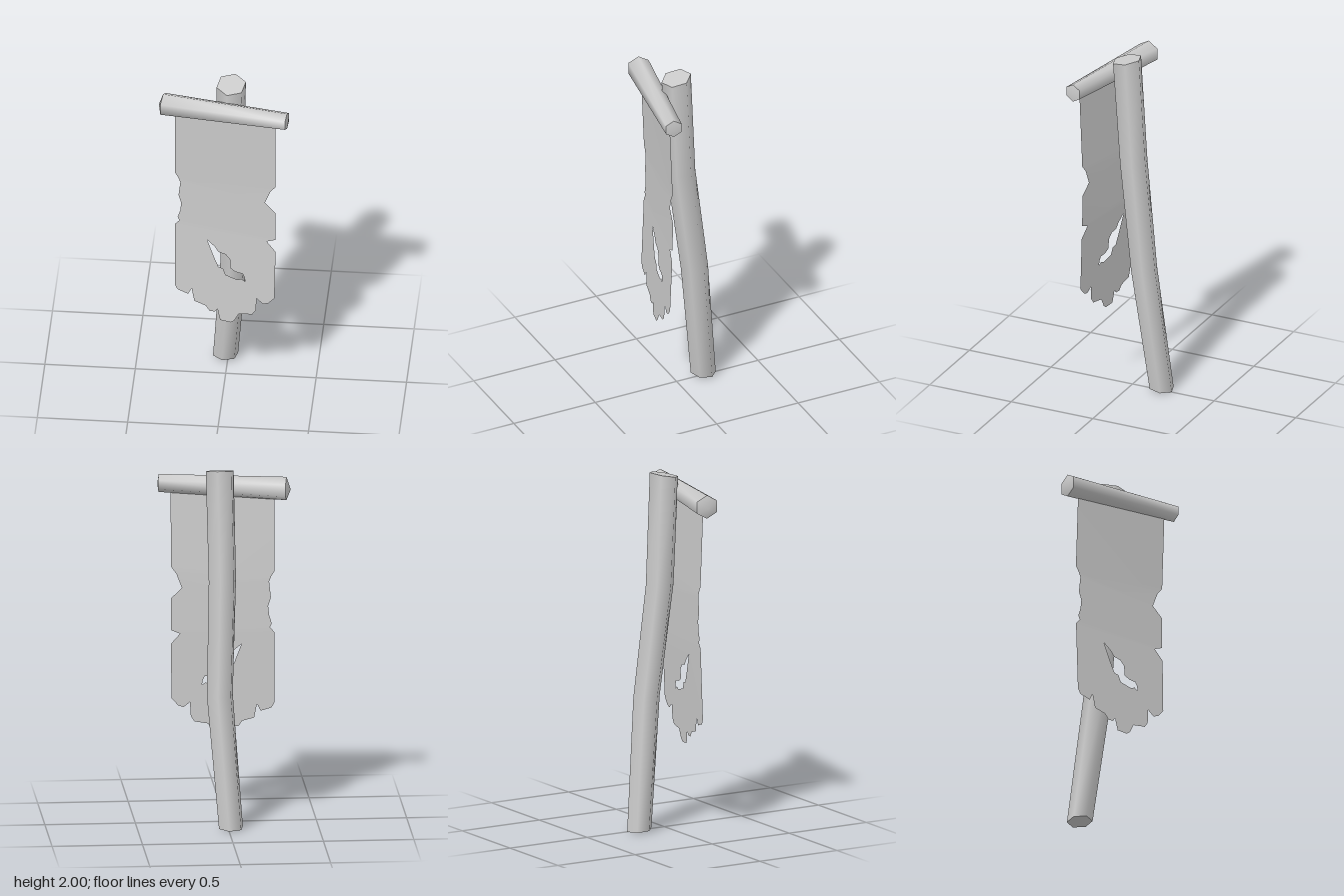
import * as THREE from 'three';
import { mergeGeometries, mergeVertices, toCreasedNormals } from 'three/addons/utils/BufferGeometryUtils.js';

const material = new THREE.MeshStandardMaterial({ color: 0xcccccc });
const clothMaterial = new THREE.MeshStandardMaterial({ color: 0xcccccc, side: THREE.DoubleSide });
const SIDES = 6;

// Skin a list of six-point rings, closing each end with a fan to its apex
function loft(rings, startApex, endApex) {
  const pos = [];
  const tri = (...pts) => pts.forEach((p) => pos.push(...p));
  const last = rings.length - 1;
  for (let i = 0; i < SIDES; i++) {
    const j = (i + 1) % SIDES;
    for (let k = 0; k < last; k++) {
      tri(rings[k][i], rings[k + 1][i], rings[k][j]);
      tri(rings[k][j], rings[k + 1][i], rings[k + 1][j]);
    }
    tri(startApex, rings[0][i], rings[0][j]);
    tri(endApex, rings[last][j], rings[last][i]);
  }
  const geometry = new THREE.BufferGeometry();
  geometry.setAttribute('position', new THREE.Float32BufferAttribute(pos, 3));
  return toCreasedNormals(geometry, 1.15);
}

function ring(fn, start = 0) {
  return Array.from({ length: SIDES }, (_, i) => {
    const a = start + (i * Math.PI * 2) / SIDES;
    return fn(Math.cos(a), Math.sin(a));
  });
}

// Crooked post: centre x, y, z, radius and slope of the cut
function buildPost() {
  const stations = [
    [-0.015, 0.007, -0.171, 0.071, 0.1],
    [0.04, 0.74, -0.09, 0.077, 0],
    [0.02, 1.37, -0.017, 0.081, 0],
    [0.032, 1.984, 0.018, 0.083, -0.2],
  ];
  const rings = stations.map(([x, y, z, r, slope]) =>
    ring((c, s) => [x + c * r, y + s * r * slope, z + s * r], -0.31));
  return new THREE.Mesh(loft(rings, stations[0].slice(0, 3), stations[3].slice(0, 3)), material);
}

// Crossbar: tapered, swung forward on its right-hand end, with blunt points
function buildCrossbar() {
  const ends = [[-0.341, 1.866, 0.066, 0.066], [0.355, 1.88, 0.192, 0.051]];
  const rings = ends.map(([x, y, z, r]) =>
    ring((c, s) => [x + s * r * 0.18, y + c * r, z - s * r]));
  return new THREE.Mesh(loft(rings, [-0.364, 1.86, 0.064], [0.363, 1.88, 0.193]), material);
}

// Cloth depth: parallel to the crossbar, with two soft creases
function clothZ(x, y) {
  const folds = [[0.45, 0.137], [1.05, 0.115], [1.37, 0.113], [1.87, 0.133]];
  let i = 0;
  while (i < 2 && y > folds[i + 1][0]) i++;
  const [y0, z0] = folds[i], [y1, z1] = folds[i + 1];
  return 0.18 * x + z0 + ((z1 - z0) * (y - y0)) / (y1 - y0);
}

// Torn cloth in three bands meeting at the creases
function buildCloth() {
  const points = (list) => list.map(([x, y]) => new THREE.Vector2(x, y));
  const top = [[-0.275, 1.87], [-0.275, 1.4], [-0.257, 1.37], [0.26, 1.37], [0.29, 1.41], [0.29, 1.87]];
  const middle = [
    [-0.257, 1.37], [-0.245, 1.34], [-0.255, 1.25], [-0.24, 1.2], [-0.245, 1.15], [-0.26, 1.1],
    [-0.25, 1.08], [-0.275, 1.05], [0.29, 1.05], [0.29, 1.23], [0.23, 1.29], [0.26, 1.37],
  ];
  const bottom = [
    [-0.275, 1.05], [-0.275, 0.65], [-0.26, 0.62], [-0.2, 0.6], [-0.18, 0.64], [-0.165, 0.56],
    [-0.1, 0.54], [-0.08, 0.51], [-0.05, 0.51], [-0.035, 0.53], [-0.02, 0.46], [0.04, 0.455],
    [0.06, 0.47], [0.085, 0.52], [0.16, 0.53], [0.18, 0.56], [0.185, 0.64], [0.22, 0.61],
    [0.25, 0.62], [0.285, 0.66], [0.29, 0.97], [0.24, 1.03], [0.29, 1.05],
  ];
  const hole = [
    [-0.095, 0.98], [-0.05, 0.94], [-0.03, 0.91], [0.01, 0.9], [0.035, 0.87], [0.035, 0.815],
    [0.065, 0.795], [0.105, 0.79], [0.115, 0.77], [0.12, 0.74], [0.1, 0.755], [0.075, 0.745],
    [0.01, 0.765], [-0.005, 0.805], [-0.03, 0.81], [-0.055, 0.87],
  ];
  const bands = [top, middle, bottom].map((list) => new THREE.Shape(points(list)));
  bands[2].holes.push(new THREE.Path(points(hole)));

  const merged = mergeGeometries(bands.map((b) => new THREE.ShapeGeometry(b)));
  merged.deleteAttribute('normal');
  merged.deleteAttribute('uv');
  const geometry = mergeVertices(merged);
  const p = geometry.attributes.position;
  for (let i = 0; i < p.count; i++) p.setZ(i, clothZ(p.getX(i), p.getY(i)));
  geometry.computeVertexNormals();
  return new THREE.Mesh(geometry, clothMaterial);
}

export function createModel() {
  const group = new THREE.Group();
  group.name = 'tatteredBanner';
  const parts = { post: buildPost(), crossbar: buildCrossbar(), cloth: buildCloth() };
  for (const [name, mesh] of Object.entries(parts)) {
    mesh.name = name;
    group.add(mesh);
  }
  return group;
}
